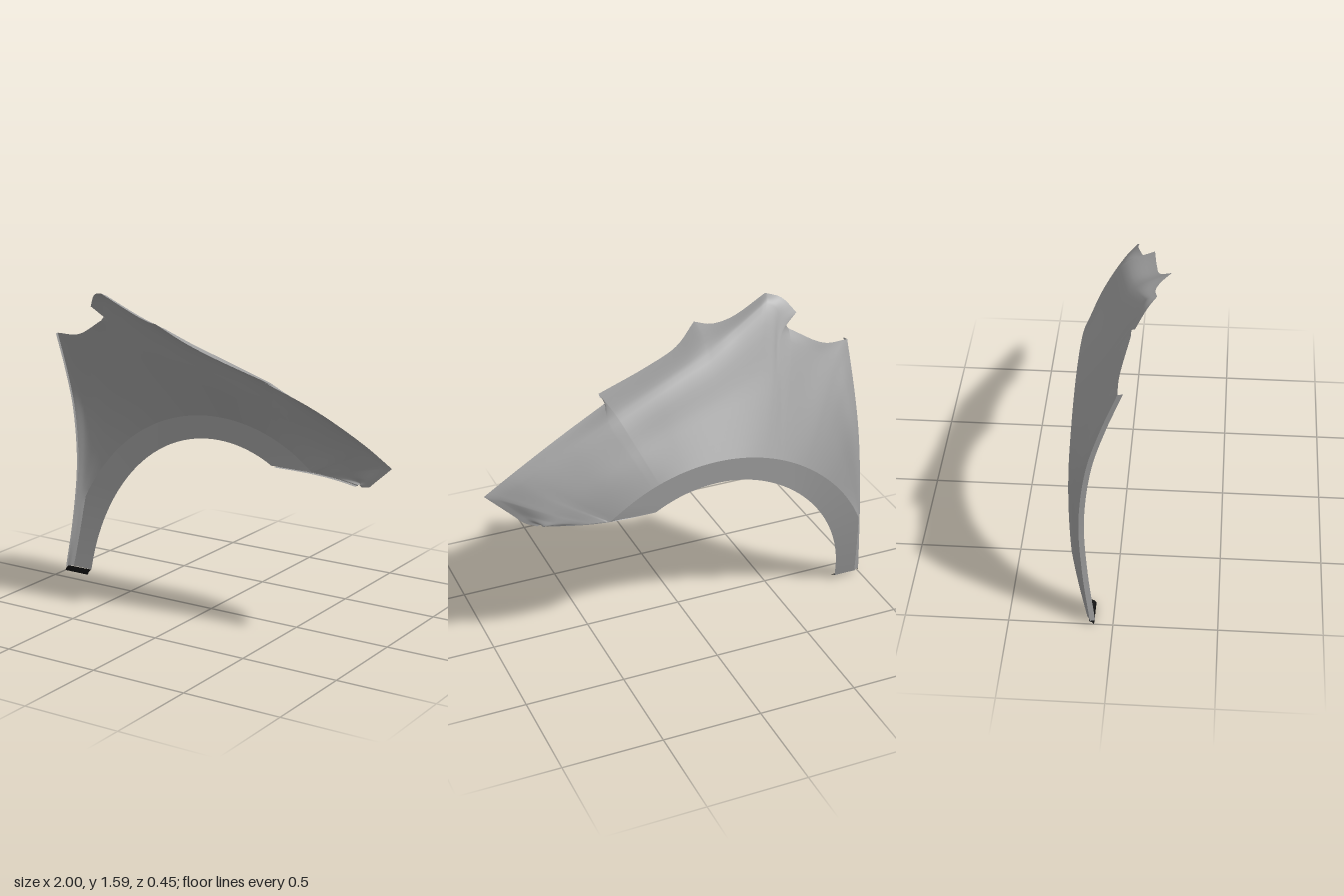
import * as THREE from 'three';

const V = (x, y, z) => new THREE.Vector3(x, y, z);
const paint = new THREE.MeshStandardMaterial({ color: 0x9e9e9e, side: THREE.DoubleSide });
const black = new THREE.MeshStandardMaterial({ color: 0x080808, side: THREE.DoubleSide });

// Outer rim, from the rear foot up the door edge, along the bonnet edge to the nose and under it
const rim = [
  [-1, 0.02, -0.11], [-0.972, 0.3, -0.145], [-0.95, 0.6, -0.16], [-0.94, 0.9, -0.125], [-0.935, 1.12, -0.06],
  [-0.93, 1.33, 0.02], [-0.8, 1.335, 0.02], [-0.62, 1.43, 0.06], [-0.605, 1.45, 0.06], [-0.67, 1.5, 0.08],
  [-0.61, 1.57, 0.13], [-0.54, 1.59, 0.17], [-0.35, 1.5, 0.155], [-0.25, 1.475, 0.175], [-0.18, 1.48, 0.22],
  [-0.06, 1.395, 0.16], [0.1, 1.33, 0.138], [0.365, 1.245, 0.115], [0.35, 1.22, 0.06], [0.6, 1.11, 0.02],
  [0.85, 0.975, 0], [1, 0.88, 0], [0.88, 0.78, -0.06], [0.835, 0.745, -0.09], [0.78, 0.73, -0.12],
].map((p) => V(...p));

// Shoulder line just inside the rim, same stations
const shoulder = [
  [-0.985, 0.02, -0.115], [-0.96, 0.31, -0.163], [-0.925, 0.61, -0.18], [-0.9, 0.89, -0.155], [-0.88, 1.1, -0.085],
  [-0.86, 1.25, -0.02], [-0.76, 1.29, 0], [-0.62, 1.37, 0.025], [-0.57, 1.41, 0.04], [-0.58, 1.46, 0.065],
  [-0.57, 1.53, 0.1], [-0.52, 1.56, 0.12], [-0.36, 1.475, 0.085], [-0.26, 1.425, 0.06], [-0.18, 1.385, 0.04],
  [-0.06, 1.34, 0.02], [0.1, 1.28, -0.005], [0.33, 1.19, -0.035], [0.38, 1.165, -0.04], [0.59, 1.06, -0.045],
  [0.81, 0.94, -0.045], [0.93, 0.865, -0.03], [0.84, 0.785, -0.08], [0.805, 0.755, -0.105], [0.765, 0.738, -0.125],
].map((p) => V(...p));

// Angle of each station around the wheel arch
const angles = [180, 160, 144, 134, 127, 122, 118, 114, 112, 109, 106, 103, 98, 94, 90, 84, 78, 70, 67, 59, 51];
const ARCH_END = 20;
const LAST = 24;
const STEPS = 6;

// Point on a rail at station t: smooth between the corner stations, sharp at them
const corners = [0, 5, 7, 8, 9, 11, 14, 17, 18, 21, LAST];
function smoothRail(points) {
  const spans = corners.slice(1).map((end, i) => new THREE.CatmullRomCurve3(points.slice(corners[i], end + 1)));
  return (t) => {
    const i = Math.max(0, corners.findIndex((c) => c >= t) - 1);
    return spans[i].getPoint((t - corners[i]) / (corners[i + 1] - corners[i]));
  };
}
const rimAt = smoothRail(rim);
const shoulderAt = smoothRail(shoulder);

// Depth of the flared lip: tucks in toward the foot and toward the nose
const lipDepth = (x, y) =>
  -0.227 + 0.107 * Math.max(0, 1 - y / 0.75) ** 1.6 + 0.6 * Math.max(0, x - 0.35) ** 2;

const onEllipse = (degrees, rx, ry) => {
  const a = THREE.MathUtils.degToRad(degrees);
  return [-0.12 + rx * Math.cos(a), ry * Math.sin(a)];
};

// Opening edge and crease of the lip at station t
function lipAt(t) {
  let ax, ay, bx, by;
  if (t <= ARCH_END) {
    const i = Math.min(Math.floor(t), ARCH_END - 1);
    const b = THREE.MathUtils.lerp(angles[i], angles[i + 1], t - i);
    [ax, ay] = onEllipse(180 - ((180 - b) * 117) / 129, 0.73, 0.82);
    [bx, by] = onEllipse(b, 0.9, 0.94);
    if (t < 2) bx = Math.max(bx, rimAt(t).x + 0.03);
  } else {
    const k = (t - ARCH_END) / (LAST - ARCH_END);
    bx = THREE.MathUtils.lerp(0.446, 0.755, k);
    by = 0.735;
    ax = THREE.MathUtils.lerp(0.24, bx, Math.min(1, k * 4));
    ay = 0.73;
  }
  ay = Math.max(ay, 0.02);
  by = Math.max(by, 0.02);
  return [V(ax, ay, lipDepth(ax, ay)), V(bx, by, lipDepth(bx, by))];
}

// Skin a surface over equal-length rows of points
function loft(rows, name, material = paint) {
  const n = rows[0].length;
  const index = [];
  for (let i = 0; i < rows.length - 1; i++) {
    for (let j = 0; j < n - 1; j++) {
      const a = i * n + j;
      index.push(a, a + n, a + 1, a + 1, a + n, a + n + 1);
    }
  }
  const geometry = new THREE.BufferGeometry().setFromPoints(rows.flat());
  geometry.setIndex(index);
  geometry.computeVertexNormals();
  const mesh = new THREE.Mesh(geometry, material);
  mesh.name = name;
  return mesh;
}

// Narrow folded edge following a line of points
const hem = (points, offset, name) => loft(points.map((p) => [p, p.clone().add(offset)]), name);

export function createModel() {
  const group = new THREE.Group();
  group.name = 'fender';

  const stations = Array.from({ length: LAST * STEPS + 1 }, (_, i) => i / STEPS);
  const rimBetween = (from, to) => stations.filter((t) => t >= from && t <= to).map(rimAt);

  // Body panel and flared arch lip
  const lipRows = [];
  const bodyRows = [];
  for (const t of stations) {
    const [edge, crease] = lipAt(t);
    const s = shoulderAt(t);
    const middle = crease.clone().lerp(s, 0.5);
    middle.z -= 0.02 * THREE.MathUtils.smoothstep(middle.x, 0.1, 0.5);
    lipRows.push([0, 0.5, 1].map((k) => edge.clone().lerp(crease, k)));
    bodyRows.push(new THREE.CatmullRomCurve3([crease, middle, s, rimAt(t)]).getPoints(18));
  }
  group.add(loft(bodyRows, 'bodyPanel'), loft(lipRows, 'wheelArchLip'));

  // Folded edges
  group.add(hem(rimBetween(0, 5), V(0.008, 0, 0.025), 'doorEdgeHem'));
  group.add(hem(rimBetween(14, 17), V(0, -0.016, -0.018), 'bonnetEdgeHem'));
  const lowerEdge = [0.24, 0.35, 0.45, 0.55, 0.65, 0.75].map((x) => V(x, 0.73, lipDepth(x, 0.73)));
  group.add(hem(lowerEdge, V(0, 0, 0.02), 'lowerEdgeHem'));

  // Mounting tab at the foot
  const foot = [V(-1, 0.02, -0.115), V(-0.85, 0.02, -0.122)];
  group.add(loft(foot.map((p) => [p, V(p.x, 0.012, -0.1), V(p.x, 0, -0.09)]), 'footTab', black));
  return group;
}
